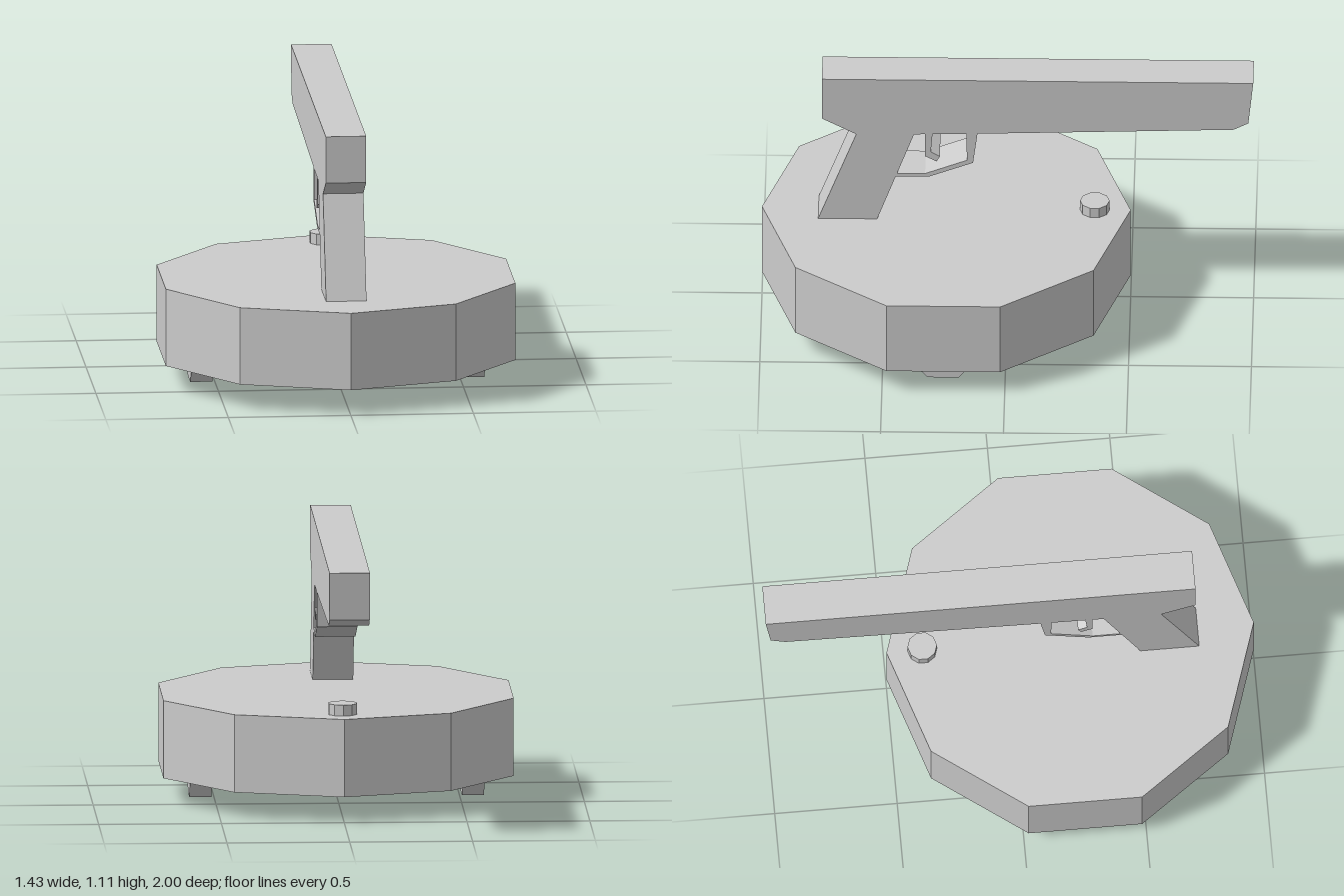
import * as THREE from 'three';

const material = new THREE.MeshStandardMaterial({ color: 0xcccccc, flatShading: true });

// Extrudes a side profile of [z, y] points across x, centred on the given x
function sideProfile(name, points, width, x = 0) {
  const shape = new THREE.Shape(points.map(([z, y]) => new THREE.Vector2(-z, y)));
  const geometry = new THREE.ExtrudeGeometry(shape, { depth: width, bevelEnabled: false });
  geometry.rotateY(Math.PI / 2).translate(x - width / 2, 0, 0);
  const mesh = new THREE.Mesh(geometry, material);
  mesh.name = name;
  return mesh;
}

// Upright faceted disc standing on yBottom
function disc(name, radius, yBottom, yTop, z, sides) {
  const height = yTop - yBottom;
  const mesh = new THREE.Mesh(new THREE.CylinderGeometry(radius, radius, height, sides), material);
  mesh.position.set(0, yBottom + height / 2, z);
  mesh.name = name;
  return mesh;
}

export function createModel() {
  const model = new THREE.Group();
  model.name = 'pistolOnBase';

  // Ten-sided base with a small button near the back
  model.add(disc('base', 0.75, 0.105, 0.425, 0.25, 10));
  model.add(disc('button', 0.06, 0.425, 0.47, -0.354, 10));

  // Pair of tapered feet
  const footProfile = [[0.39, 0.105], [0.39, 0.08], [0.315, 0], [0.19, 0], [0.12, 0.08], [0.12, 0.105]];
  for (const side of [1, -1]) {
    model.add(sideProfile(side > 0 ? 'leftFoot' : 'rightFoot', footProfile, 0.09, side * 0.555));
  }

  // Pistol: slide and grip in one outline, muzzle towards the back
  const pistol = new THREE.Group();
  pistol.name = 'pistol';
  const width = 0.165;
  pistol.add(sideProfile('slideAndGrip', [
    [0.755, 1.108], [0.755, 0.915], [0.615, 0.84], [0.77, 0.425], [0.53, 0.425],
    [0.38, 0.842], [0.12, 0.848], [-0.92, 0.88], [-0.98, 0.912], [-1, 1.108],
  ], width));

  // Trigger guard strip from the frame round to the grip
  pistol.add(sideProfile('triggerGuard', [
    [0.122, 0.848], [0.14, 0.705], [0.32, 0.635], [0.455, 0.635],
    [0.45, 0.65], [0.335, 0.65], [0.165, 0.717], [0.167, 0.847],
  ], width));

  // Hooked trigger
  pistol.add(sideProfile('trigger', [
    [0.335, 0.843], [0.335, 0.735], [0.288, 0.71], [0.275, 0.735], [0.312, 0.757], [0.305, 0.844],
  ], width));

  model.add(pistol);
  return model;
}
